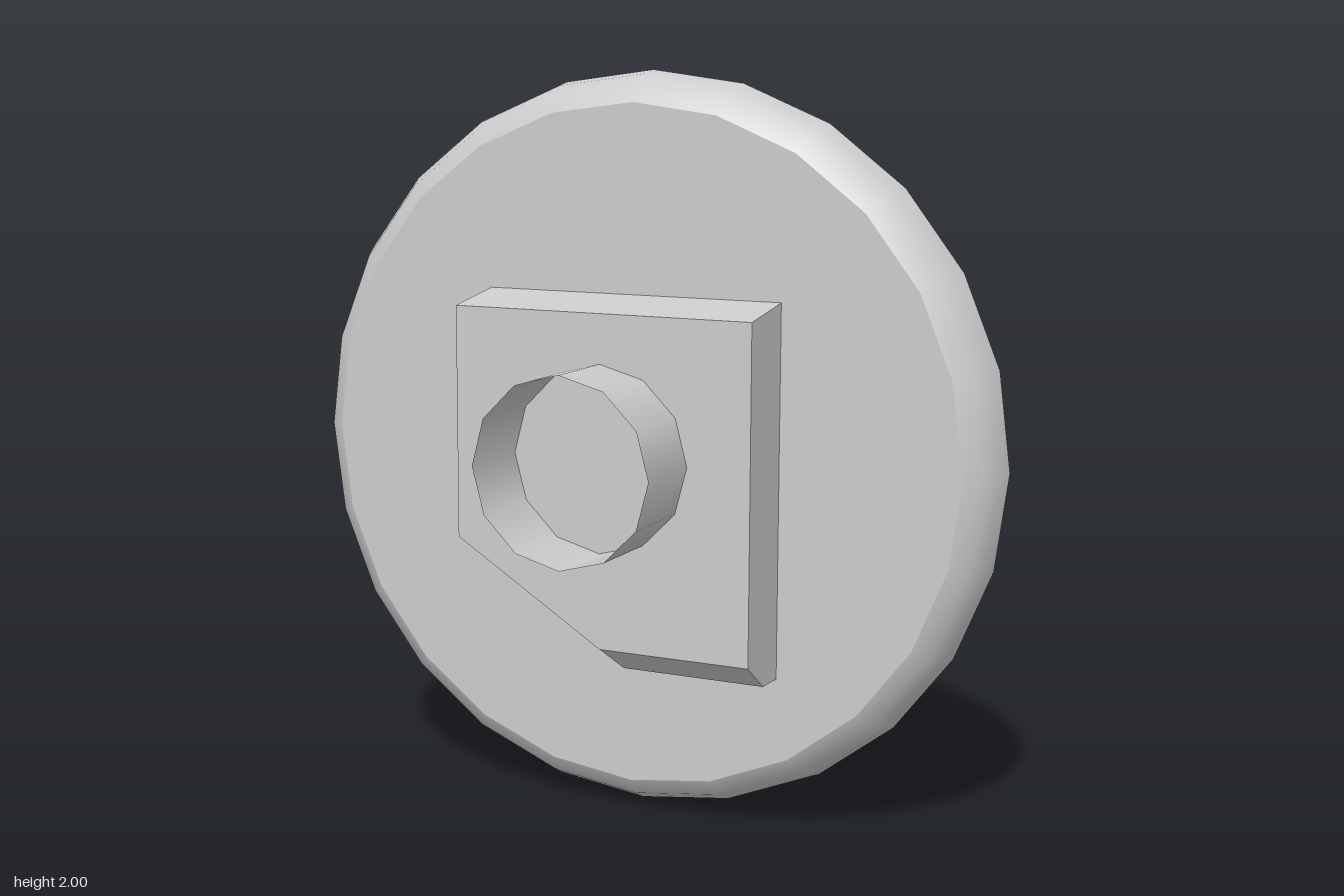
import * as THREE from 'three';

const material = new THREE.MeshStandardMaterial({ color: 0xcccccc, side: THREE.DoubleSide });

function addMesh(parent, name, geometry, x = 0, y = 0, z = 0) {
  const mesh = new THREE.Mesh(geometry, material);
  mesh.name = name;
  mesh.position.set(x, y, z);
  parent.add(mesh);
  return mesh;
}

// Cross-section of the block at depth z, counterclockwise seen from the front
function blockSection(z, top, bottom, notchX) {
  return [[0.425, top], [-0.425, top], [-0.425, 0.76], [0, 0.497], [notchX, bottom], [0.425, bottom]]
    .map(([x, y]) => new THREE.Vector3(x, y, z));
}

// Flat-faced solid through a list of sections, closed at both ends
function loft(sections) {
  const points = [];
  const n = sections[0].length;
  for (let s = 0; s < sections.length - 1; s++) {
    const back = sections[s], front = sections[s + 1];
    for (let i = 0; i < n; i++) {
      const j = (i + 1) % n;
      points.push(back[i], back[j], front[j], back[i], front[j], front[i]);
    }
  }
  const first = sections[0], last = sections[sections.length - 1];
  for (let i = 1; i < n - 1; i++) {
    points.push(last[0], last[i], last[i + 1], first[0], first[i + 1], first[i]);
  }
  const geometry = new THREE.BufferGeometry().setFromPoints(points);
  geometry.computeVertexNormals();
  return geometry;
}

export function createModel() {
  const model = new THREE.Group();
  model.name = 'roundPlateWithSocket';

  // Round plate: rounded rim with flat faces
  const plate = new THREE.Group();
  plate.name = 'plate';
  plate.position.y = 1;
  model.add(plate);
  const rim = [[1, -0.272], [0.99, -0.222], [0.963, -0.17], [0.918, -0.144]]
    .map(([r, z]) => new THREE.Vector2(r, z));
  addMesh(plate, 'plateRim', new THREE.LatheGeometry(rim, 24).rotateX(Math.PI / 2));
  addMesh(plate, 'plateFront', new THREE.CircleGeometry(0.918, 24), 0, 0, -0.144);
  addMesh(plate, 'plateBack', new THREE.CircleGeometry(1, 24).rotateY(Math.PI), 0, 0, -0.272);

  // Mounting block with a cut corner and a sloped lower front edge
  addMesh(model, 'mountingBlock', loft([
    blockSection(-0.15, 1.417, 0.422, 0.022),
    blockSection(-0.055, 1.402, 0.424, 0.022),
    blockSection(0.046, 1.386, 0.497, 0.001),
  ]));

  // Open tube on the block
  const tube = new THREE.CylinderGeometry(0.25, 0.25, 0.226, 12, 1, true).rotateX(Math.PI / 2);
  addMesh(model, 'socketTube', tube, 0, 1.005, 0.159);

  return model;
}
